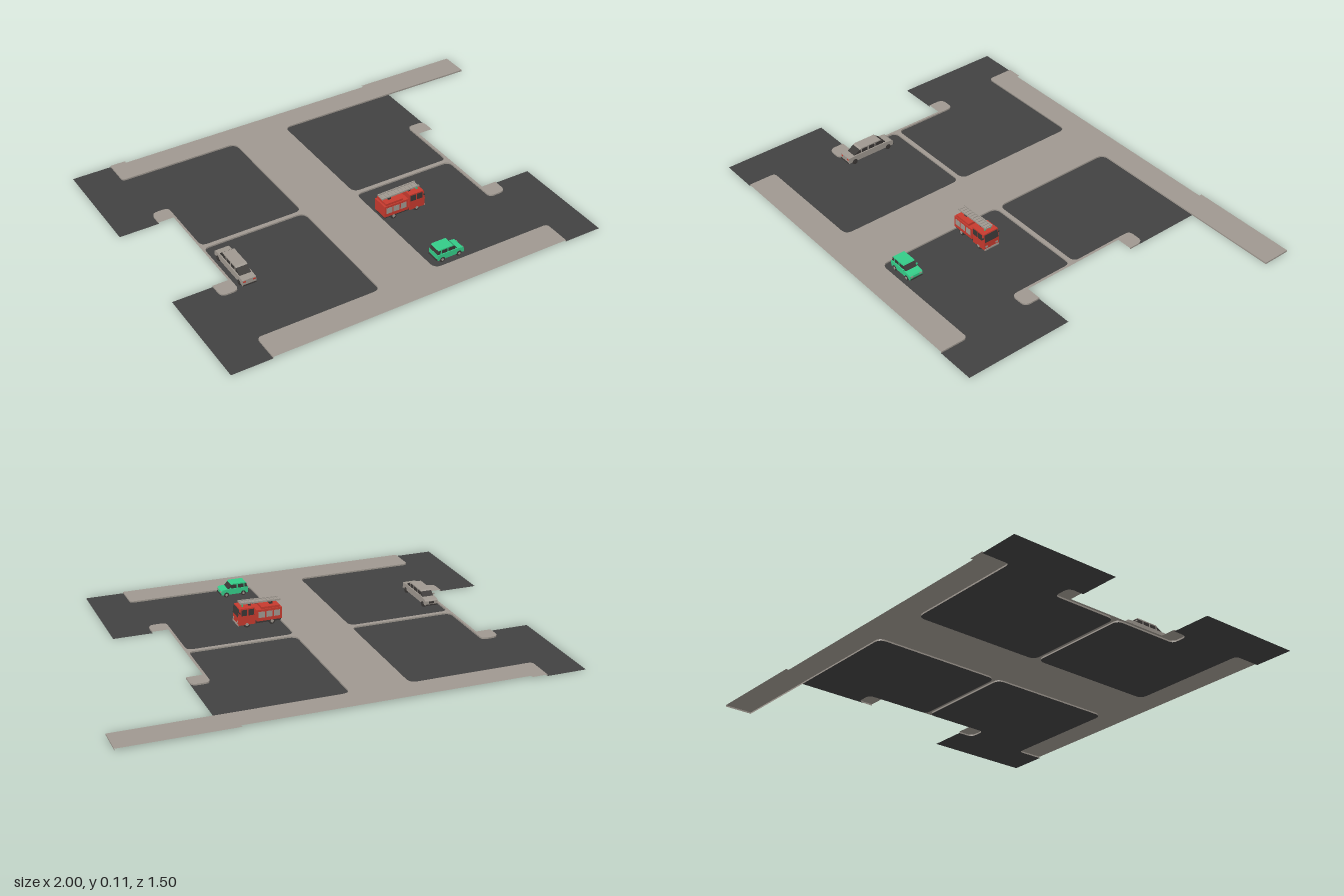
import * as THREE from 'three';

const mat = (name, color, side = THREE.FrontSide) => {
  const m = new THREE.MeshStandardMaterial({ color, side });
  m.name = name;
  return m;
};

export function createModel() {
  const asphalt = mat('asphalt', 0x414141, THREE.DoubleSide);
  const paving = mat('paving', 0x9f9890, THREE.DoubleSide);
  const silver = mat('silver paint', 0x9f9890);
  const dark = mat('dark glass and rubber', 0x3a3735);
  const red = mat('red paint', 0xc63a2e);
  const green = mat('green paint', 0x34cc88);
  const model = new THREE.Group();

  const add = (parent, name, geo, material, x = 0, y = 0, z = 0) => {
    const m = new THREE.Mesh(geo, material);
    m.name = name;
    m.position.set(x, y, z);
    parent.add(m);
    return m;
  };
  const box = (parent, name, material, w, h, d, x, y, z) =>
    add(parent, name, new THREE.BoxGeometry(w, h, d), material, x, y, z);

  // ---- Ground: kerb lines with rounded corners [x, z, radius] ----
  const roundPath = (pts) => pts.flatMap(([x, z, r], i) => {
    const p = new THREE.Vector2(x, z);
    if (!r) return [p];
    const toward = (q) => p.clone().add(new THREE.Vector2(q[0] - x, q[1] - z).setLength(r));
    return new THREE.QuadraticBezierCurve(toward(pts[i - 1]), p, toward(pts[i + 1])).getPoints(5);
  });
  const flat = (parent, name, pts, material, y) => {
    const geo = new THREE.ShapeGeometry(new THREE.Shape(pts.map((p) => new THREE.Vector2(p.x, -p.y))));
    geo.rotateX(-Math.PI / 2);
    add(parent, name, geo, material, 0, y, 0);
  };
  const kerbHeight = 0.007;
  const kerbWall = (parent, pts) => {
    const pos = [], idx = [];
    pts.forEach((p, i) => {
      pos.push(p.x, 0, p.y, p.x, kerbHeight, p.y);
      if (i) idx.push(2 * i - 2, 2 * i, 2 * i - 1, 2 * i - 1, 2 * i, 2 * i + 1);
    });
    let geo = new THREE.BufferGeometry();
    geo.setAttribute('position', new THREE.Float32BufferAttribute(pos, 3));
    geo.setIndex(idx);
    geo = geo.toNonIndexed();
    geo.computeVertexNormals();
    add(parent, 'kerb', geo, paving);
  };
  const v = (x, z) => new THREE.Vector2(x, z);
  const flipZ = (pts) => pts.map((p) => v(p.x, -p.y));

  const leftBack = roundPath([
    [-0.82, -0.75], [-0.82, -0.62, 0.02], [-0.26, -0.62, 0.035], [-0.26, -0.01, 0.035],
    [-0.74, -0.01, 0.03], [-0.74, -0.325, 0.025], [-0.82, -0.325, 0.03], [-0.82, -0.25]]);
  const leftFront = flipZ(leftBack);
  const rightInner = roundPath([
    [0.572, -0.25], [0.572, -0.325, 0.03], [0.488, -0.325, 0.025], [0.488, -0.01, 0.03],
    [0, -0.01, 0.035], [0, -0.62, 0.035], [0.572, -0.62]]);
  const rightFront = [
    ...flipZ(rightInner).slice(0, -1),
    ...roundPath([[0.4, 0.62], [0.572, 0.62, 0.02], [0.572, 0.75]])];
  const rightBack = [...rightInner, v(1, -0.62), v(1, -0.75)];

  const ground = new THREE.Group();
  ground.name = 'ground';
  model.add(ground);
  flat(ground, 'roadBackRight', [...leftBack, v(-1, -0.25), v(-1, -0.75)], asphalt, 0);
  flat(ground, 'roadFrontRight', [...leftFront, v(-1, 0.25), v(-1, 0.75)], asphalt, 0);
  flat(ground, 'roadBackLeft', rightInner.slice(1), asphalt, 0);
  flat(ground, 'roadFrontLeft', [...rightFront, v(0.748, 0.75), v(0.748, 0.25)], asphalt, 0);
  flat(ground, 'pavement', [
    ...leftBack, v(-0.75, -0.25), v(-0.75, 0.25), ...[...leftFront].reverse(),
    ...[...rightFront].reverse(), v(0.5, 0.25), v(0.5, -0.25), ...rightBack,
    v(0.5, -0.75), v(0.5, -0.737), v(-0.75, -0.737), v(-0.75, -0.75)], paving, kerbHeight);
  [leftBack, leftFront, rightFront, rightBack].forEach((p) => kerbWall(ground, p));

  // ---- Vehicles: length along x, nose toward +x ----
  const vehicle = (name, x, z, turn = 0) => {
    const g = new THREE.Group();
    g.name = name;
    g.position.set(x, 0, z);
    g.rotation.y = turn;
    model.add(g);
    return g;
  };
  // Side profile [x, y] extruded across the width
  const profile = (parent, name, pts, width, material) => {
    const geo = new THREE.ExtrudeGeometry(new THREE.Shape(pts.map((p) => v(...p))),
      { depth: width, bevelEnabled: false });
    return add(parent, name, geo, material, 0, 0, -width / 2);
  };
  const wheels = (parent, xs, r, halfWidth, hub) => {
    for (const x of xs) for (const s of [-1, 1]) {
      const tyre = new THREE.CylinderGeometry(r, r, 0.012, 14).rotateX(Math.PI / 2);
      add(parent, 'wheel', tyre, dark, x, r, s * (halfWidth - 0.004));
      const cap = new THREE.CylinderGeometry(r * 0.5, r * 0.5, 0.002, 10).rotateX(Math.PI / 2);
      add(parent, 'hubcap', cap, hub, x, r, s * (halfWidth + 0.003));
    }
  };
  const mirrors = (parent, material, x, y, halfWidth) => {
    for (const s of [-1, 1]) box(parent, 'mirror', material, 0.005, 0.006, 0.008, x, y, s * (halfWidth + 0.003));
  };

  // Small green car
  const car = vehicle('greenCar', 0.096, 0.562);
  profile(car, 'carBody', [[-0.064, 0.012], [0.066, 0.012], [0.066, 0.03], [0.06, 0.036],
    [0.032, 0.039], [-0.064, 0.039]], 0.064, green);
  profile(car, 'carWindows', [[-0.062, 0.039], [0.034, 0.039], [0.016, 0.058], [-0.056, 0.058]], 0.056, dark);
  profile(car, 'carRoof', [[-0.058, 0.057], [0.018, 0.057], [0.014, 0.062], [-0.054, 0.062]], 0.057, green);
  for (const x of [-0.045, -0.012]) box(car, 'doorPillar', green, 0.005, 0.02, 0.058, x, 0.048, 0);
  for (const s of [-1, 1]) box(car, 'headlight', silver, 0.002, 0.007, 0.012, 0.0665, 0.027, s * 0.022);
  box(car, 'frontBumper', dark, 0.004, 0.006, 0.06, 0.066, 0.015, 0);
  box(car, 'rearBumper', dark, 0.004, 0.006, 0.06, -0.065, 0.015, 0);
  wheels(car, [-0.04, 0.042], 0.012, 0.031, silver);
  mirrors(car, green, 0.024, 0.042, 0.031);

  // Long silver limousine
  const limo = vehicle('limousine', -0.692, 0.202, Math.PI / 2);
  profile(limo, 'limoBody', [[-0.122, 0.014], [0.122, 0.014], [0.122, 0.034], [0.115, 0.039],
    [0.078, 0.043], [-0.085, 0.043], [-0.122, 0.04]], 0.062, silver);
  profile(limo, 'limoWindows', [[-0.09, 0.043], [0.084, 0.043], [0.06, 0.062], [-0.055, 0.062]], 0.052, dark);
  profile(limo, 'limoRoof', [[-0.058, 0.061], [0.062, 0.061], [0.056, 0.066], [-0.05, 0.066]], 0.053, silver);
  for (const x of [-0.05, -0.012, 0.025]) box(limo, 'doorPillar', silver, 0.006, 0.02, 0.054, x, 0.052, 0);
  box(limo, 'grille', dark, 0.002, 0.01, 0.024, 0.1225, 0.027, 0);
  box(limo, 'frontBumper', dark, 0.004, 0.005, 0.06, 0.122, 0.016, 0);
  box(limo, 'rearBumper', dark, 0.004, 0.005, 0.06, -0.122, 0.016, 0);
  for (const s of [-1, 1]) box(limo, 'tailLight', red, 0.002, 0.006, 0.012, -0.1225, 0.033, s * 0.022);
  wheels(limo, [-0.09, 0.094], 0.013, 0.03, dark);
  mirrors(limo, silver, 0.07, 0.046, 0.031);

  // Fire engine
  const truck = vehicle('fireEngine', 0.103, 0.2);
  box(truck, 'chassis', dark, 0.196, 0.012, 0.066, 0, 0.018, 0);
  box(truck, 'rearBody', red, 0.118, 0.054, 0.078, -0.042, 0.049, 0);
  box(truck, 'equipmentDeck', red, 0.085, 0.01, 0.07, -0.05, 0.081, 0);
  profile(truck, 'cab', [[0.024, 0.014], [0.102, 0.014], [0.102, 0.052], [0.095, 0.092], [0.024, 0.092]], 0.078, red);
  profile(truck, 'windscreen', [[0.1025, 0.054], [0.104, 0.054], [0.098, 0.088], [0.0965, 0.088]], 0.07, dark);
  box(truck, 'frontBumper', silver, 0.005, 0.008, 0.076, 0.102, 0.016, 0);
  for (const s of [-1, 1]) {
    for (const x of [0.042, 0.075]) box(truck, 'cabWindow', dark, 0.026, 0.028, 0.002, x, 0.072, s * 0.0392);
    for (const x of [-0.078, -0.042, -0.006])
      box(truck, 'lockerShutter', silver, 0.029, 0.028, 0.002, x, 0.052, s * 0.0392);
    box(truck, 'headlight', silver, 0.002, 0.008, 0.012, 0.103, 0.03, s * 0.028);
    box(truck, 'beacon', green, 0.006, 0.014, 0.004, 0.075, 0.098, s * 0.014);
    // Ladder rails
    const rail = box(truck, 'ladderRail', silver, 0.186, 0.007, 0.005, -0.008, 0.106, s * 0.017);
    rail.rotation.z = 0.025;
  }
  const tread = box(truck, 'ladderBed', silver, 0.184, 0.004, 0.034, -0.008, 0.103, 0);
  tread.rotation.z = 0.025;
  for (let i = 0; i < 11; i++)
    box(truck, 'ladderRung', silver, 0.004, 0.003, 0.034, -0.093 + i * 0.017, 0.107 + (i - 5) * 0.0004, 0);
  box(truck, 'ladderSupportRear', dark, 0.014, 0.02, 0.024, -0.06, 0.093, 0);
  box(truck, 'ladderSupportFront', dark, 0.01, 0.014, 0.024, 0.04, 0.096, 0);
  wheels(truck, [-0.055, 0.062], 0.015, 0.036, silver);
  mirrors(truck, dark, 0.096, 0.074, 0.039);

  return model;
}
